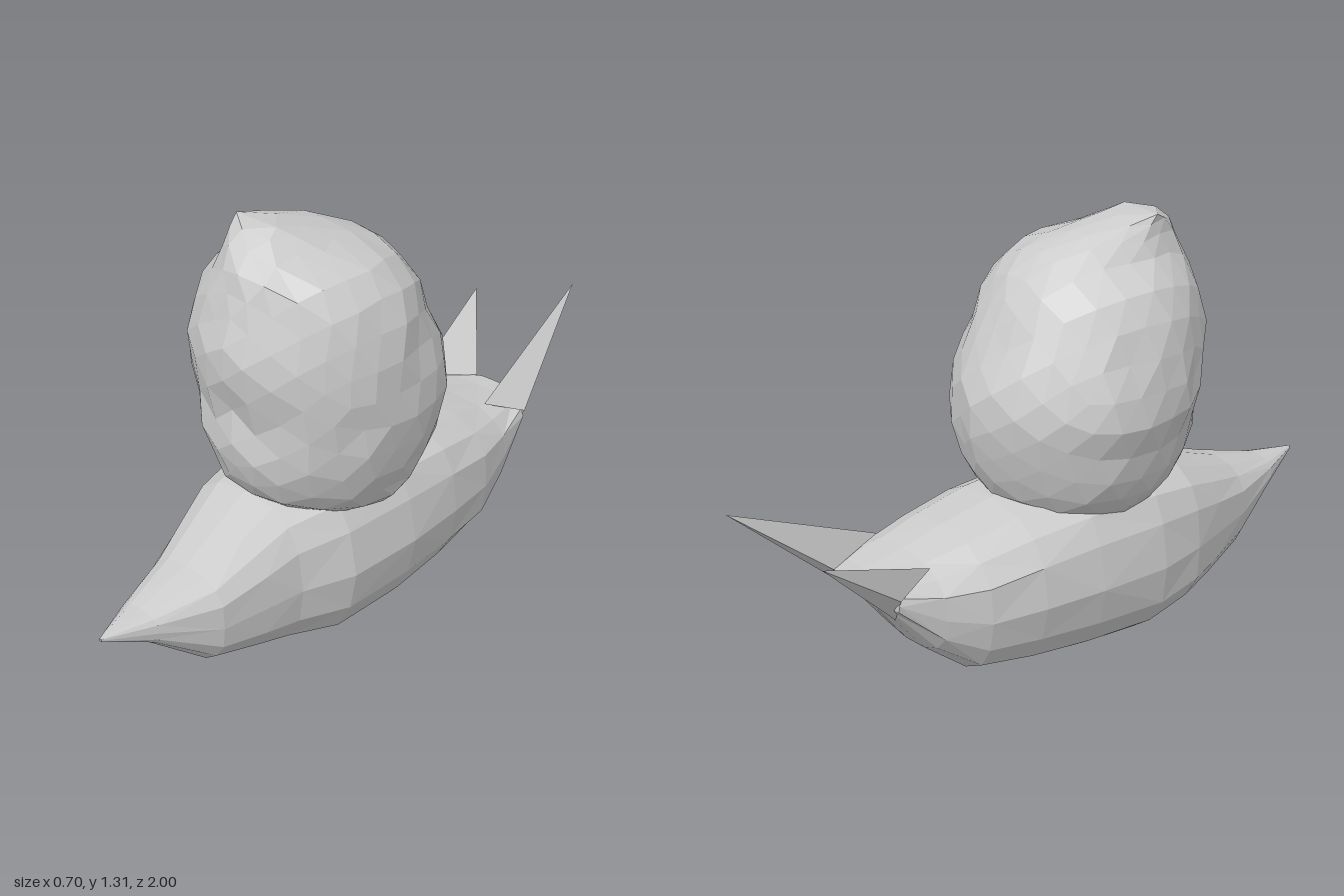
import * as THREE from 'three';

const material = () => new THREE.MeshStandardMaterial({ color: 0xcccccc, flatShading: true, side: THREE.DoubleSide });

function addMesh(group, name, geometry) {
  geometry.computeVertexNormals();
  const mesh = new THREE.Mesh(geometry, material());
  mesh.name = name;
  group.add(mesh);
}

function fromPoints(points, index) {
  const geometry = new THREE.BufferGeometry();
  geometry.setAttribute('position', new THREE.Float32BufferAttribute(points, 3));
  geometry.setIndex(index);
  return geometry.toNonIndexed();
}

// Linear lookup in rows sorted by their first column
function sample(rows, key) {
  let i = 0;
  while (i < rows.length - 2 && key > rows[i + 1][0]) i++;
  const t = THREE.MathUtils.clamp((key - rows[i][0]) / (rows[i + 1][0] - rows[i][0]), 0, 1);
  return rows[i].map((v, k) => THREE.MathUtils.lerp(v, rows[i + 1][k], t));
}

// Hull-shaped body: z, bottom, top, half width, centre x
function bodyGeometry() {
  const sections = [
    [1.0, 0.35, 0.36, 0.004, 0.02],
    [0.85, 0.275, 0.375, 0.072, 0.012],
    [0.67, 0.13, 0.42, 0.145, 0.01],
    [0.52, 0.075, 0.475, 0.185, -0.01],
    [0.4, 0.035, 0.52, 0.215, -0.025],
    [0.24, 0.0, 0.55, 0.26, -0.015],
    [0, 0.015, 0.55, 0.275, -0.01],
    [-0.2, 0.04, 0.53, 0.27, -0.01],
    [-0.37, 0.07, 0.495, 0.25, -0.01],
    [-0.5, 0.175, 0.46, 0.215, -0.01],
    [-0.63, 0.345, 0.435, 0.18, -0.01],
    [-0.69, 0.41, 0.43, 0.055, -0.005],
  ];
  const sides = 16, points = [], index = [];
  const bulge = (v, power) => Math.sign(v) * Math.abs(v) ** power;
  sections.forEach(([z, low, high, half, cx], row) => {
    for (let i = 0; i < sides; i++) {
      const a = (i / sides) * Math.PI * 2;
      const power = i < sides / 2 ? 0.74 : 0.87; // the back is flatter than the belly
      const wobble = 1 + 0.02 * Math.sin(row * 5.3 + i * 4.1);
      points.push(cx + half * bulge(Math.cos(a), power) * wobble,
        (low + high) / 2 + ((high - low) / 2) * bulge(Math.sin(a), power), z);
      if (row === sections.length - 1) continue;
      const p = row * sides + i, q = row * sides + (i + 1) % sides;
      if ((row + i) % 2) index.push(p, p + sides, q, q, p + sides, q + sides);
      else index.push(p, p + sides, q + sides, p, q + sides, q);
    }
  });
  // Tail end cap
  const last = (sections.length - 1) * sides;
  for (let i = 1; i < sides - 1; i++) index.push(last, last + i + 1, last + i);
  return fromPoints(points, index);
}

// Faceted head: y, left and right x limits, back and front z limits
function headGeometry() {
  const rings = [
    [0.435, -0.17, 0.19, 0.0, 0.24],
    [0.47, -0.225, 0.255, -0.1, 0.33],
    [0.52, -0.265, 0.285, -0.175, 0.41],
    [0.6, -0.3, 0.315, -0.22, 0.455],
    [0.7, -0.32, 0.34, -0.25, 0.48],
    [0.8, -0.355, 0.355, -0.255, 0.465],
    [0.9, -0.335, 0.345, -0.235, 0.5],
    [1.0, -0.315, 0.33, -0.175, 0.505],
    [1.1, -0.29, 0.315, -0.13, 0.47],
    [1.16, -0.24, 0.275, -0.085, 0.455],
    [1.2, -0.18, 0.23, -0.04, 0.45],
    [1.25, -0.15, 0.11, 0.04, 0.42],
    [1.31, -0.13, 0.01, 0.26, 0.34],
  ];
  const geometry = new THREE.IcosahedronGeometry(1, 4);
  const pos = geometry.attributes.position;
  for (let i = 0; i < pos.count; i++) {
    const dx = pos.getX(i), dy = pos.getY(i), dz = pos.getZ(i);
    const y = 0.8725 + 0.4375 * dy;
    const [, x0, x1, z0, z1] = sample(rings, y);
    const r = Math.max(Math.hypot(dx, dz), 1e-3);
    const wobble = 1 + 0.022 * Math.sin(dx * 13 + dy * 19 + 1) * Math.cos(dz * 17 - dy * 11);
    pos.setXYZ(i,
      (x0 + x1) / 2 + ((x1 - x0) / 2) * (dx / r) * wobble, y,
      (z0 + z1) / 2 + ((z1 - z0) / 2) * (dz / r) * wobble);
  }
  return geometry;
}

// Pointed tail fin: a pyramid on a four-cornered root sunk into the body
function finGeometry(side, tip) {
  const points = [
    side * 0.185 - 0.01, 0.41, -0.63,
    side * 0.135 - 0.025, 0.46, -0.51,
    side * 0.055 - 0.005, 0.425, -0.69,
    side * 0.13 - 0.01, 0.325, -0.615,
    ...tip,
  ];
  const index = [0, 1, 2, 0, 2, 3, 1, 0, 4, 2, 1, 4, 3, 2, 4, 0, 3, 4];
  if (side > 0) index.reverse();
  return fromPoints(points, index);
}

export function createModel() {
  const group = new THREE.Group();
  addMesh(group, 'body', bodyGeometry());
  addMesh(group, 'head', headGeometry());
  addMesh(group, 'leftTailFin', finGeometry(1, [0.07, 0.675, -1]));
  addMesh(group, 'rightTailFin', finGeometry(-1, [-0.23, 0.6, -0.89]));
  return group;
}
